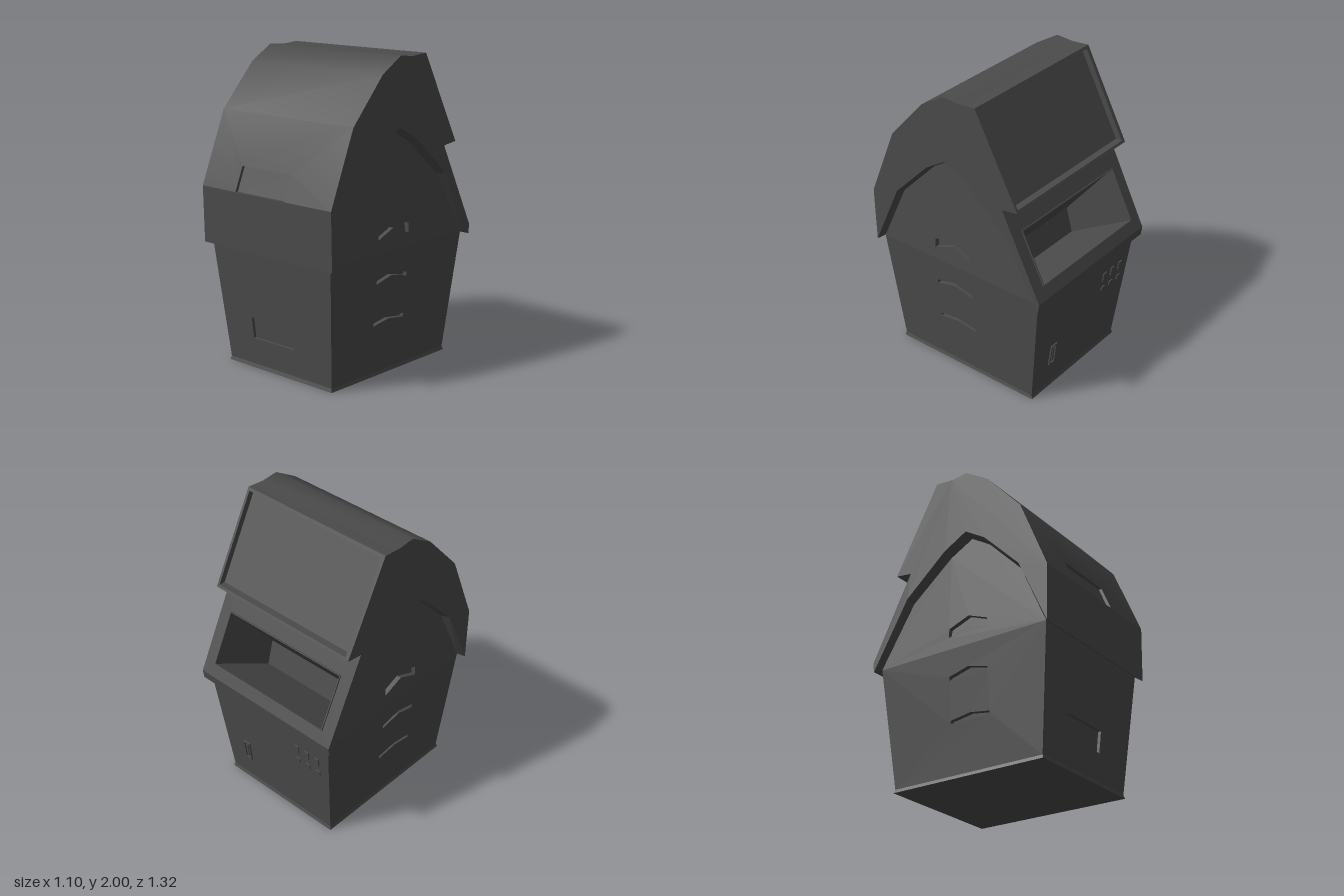
import * as THREE from 'three';
import { toCreasedNormals } from 'three/addons/utils/BufferGeometryUtils.js';

const mat = new THREE.MeshStandardMaterial({ color: 0x4b4b4b, side: THREE.DoubleSide });
const V = (x, y, z) => new THREE.Vector3(x, y, z);
const HX = 0.55; // half width of the roof

// Roof outline as [z, y], from the front eave over the ridge to the back eave
const outline = [[0.652, 0.79], [0.66, 1.155], [0.47, 1.62], [0.217, 1.9], [0.053, 2], [-0.064, 1.99],
  [-0.185, 2], [-0.493, 1.42], [-0.38, 1.405], [-0.66, 0.85], [-0.652, 0.79]];
// Lower edge of the roof sides, and the line where the soffit meets the walls, from back to front
const gable = [[-0.652, 0.79], [-0.4, 1.23], [-0.11, 1.48], [0.055, 1.57], [0.2, 1.48], [0.456, 1.22], [0.652, 0.79]];
const wallTop = [[-0.62, 0.81], [-0.39, 1.215], [-0.105, 1.462], [0.055, 1.55], [0.195, 1.462], [0.445, 1.205], [0.62, 0.81]];

// Side walls lean outward up to the eaves, then slightly inward
const wallX = (y) => (y <= 0.81 ? 0.44 + 0.084 * y : 0.508 - 0.04 * (y - 0.81));

function add(group, name, geometry) {
  const mesh = new THREE.Mesh(geometry, mat);
  mesh.name = name;
  group.add(mesh);
  return mesh;
}

// Mesh from quads whose corners run counter-clockwise seen from outside
function quadGeometry(quads, crease = 0.1) {
  const points = quads.flatMap(([a, b, c, d]) => [a, b, c, a, c, d]);
  return toCreasedNormals(new THREE.BufferGeometry().setFromPoints(points), crease);
}

// Quad with a rectangular recess; toFloor moves each hole corner to the recess floor
function recess([a, b, c, d], [u0, u1, v0, v1], toFloor) {
  const at = (u, v) => a.clone().lerp(b, u).lerp(d.clone().lerp(c, u), v);
  const outer = [a, b, c, d];
  const hole = [at(u0, v0), at(u1, v0), at(u1, v1), at(u0, v1)];
  const floor = hole.map((p, i) => toFloor(p.clone(), i));
  const quads = [floor];
  for (let i = 0; i < 4; i++) {
    const j = (i + 1) % 4;
    quads.push([outer[i], outer[j], hole[j], hole[i]], [hole[i], hole[j], floor[j], floor[i]]);
  }
  return quads;
}

// Roof face number i, across the full width
function roofQuad(i) {
  const [[z0, y0], [z1, y1]] = [outline[i], outline[i + 1]];
  return [V(-HX, y0, z0), V(HX, y0, z0), V(HX, y1, z1), V(-HX, y1, z1)];
}

// Upright side panel from [z, y] points, facing side * x
function sidePanel(side, points, holes, depth, xAt) {
  const path = (list) => list.map(([z, y]) => new THREE.Vector2(-side * z, y));
  const shape = new THREE.Shape(path(points));
  shape.holes = holes.map((h) => new THREE.Path(path(h)));
  const g = new THREE.ExtrudeGeometry(shape, { depth, bevelEnabled: false });
  g.rotateY(side * Math.PI / 2);
  const p = g.attributes.position;
  for (let i = 0; i < p.count; i++) p.setX(i, p.getX(i) + side * (xAt(p.getY(i)) - depth));
  g.computeVertexNormals();
  return g;
}

function frameGeometry(w, h, t, depth) {
  const rect = (a, b) => [[-a, -b], [a, -b], [a, b], [-a, b]].map(([x, y]) => new THREE.Vector2(x / 2, y / 2));
  const shape = new THREE.Shape(rect(w, h));
  shape.holes.push(new THREE.Path(rect(w - 2 * t, h - 2 * t)));
  return new THREE.ExtrudeGeometry(shape, { depth, bevelEnabled: false });
}

function buildRoof() {
  const roof = new THREE.Group();
  roof.name = 'roof';
  // Curved front and ridge, with a shallow handle recess
  const shell = recess(roofQuad(1), [0.273, 0.655, 0, 0.333], (p) => p.add(V(0, 0, -0.02)));
  for (const i of [2, 3, 4, 5]) shell.push(roofQuad(i));
  add(roof, 'roofShell', quadGeometry(shell, 0.65));
  add(roof, 'frontSkirt', quadGeometry([roofQuad(0)]));
  // Sunken panel on the upper back
  add(roof, 'upperBackPanel', quadGeometry(
    recess(roofQuad(6), [0.025, 0.985, 0.03, 0.974], (p) => p.add(V(0, 0, 0.044)))));
  // Deep chute in the lower back: sloping ceiling, inner wall and sloping floor
  add(roof, 'chute', quadGeometry(recess(roofQuad(8), [0.081, 0.919, 0.285, 0.86],
    (p, i) => (i < 2 ? p.set(p.x, 0.83, -0.12) : p.set(p.x, 0.66, -0.165)))));
  const rim = add(roof, 'chuteRim', frameGeometry(0.932, 0.367, 0.006, 0.01));
  rim.position.set(0, 1.087, -0.54);
  rim.rotation.set(0.467, Math.PI, 0);
  add(roof, 'backLedge', quadGeometry([roofQuad(7), roofQuad(9)]));

  // Soffit closing the gap between roof edge and walls: eaves, then both gables
  const outer = ([z, y], side) => V(side * HX, y, z);
  const inner = ([z, y], side) => V(side * wallX(y), y, z);
  const last = gable.length - 1;
  const soffit = [
    [outer(gable[last], 1), outer(gable[last], -1), inner(wallTop[last], -1), inner(wallTop[last], 1)],
    [outer(gable[0], -1), outer(gable[0], 1), inner(wallTop[0], 1), inner(wallTop[0], -1)]];
  for (const side of [1, -1]) {
    for (let i = 0; i < last; i++) {
      const q = [outer(gable[i], side), outer(gable[i + 1], side), inner(wallTop[i + 1], side), inner(wallTop[i], side)];
      soffit.push(side > 0 ? q.reverse() : q);
    }
    add(roof, side > 0 ? 'leftRoofSide' : 'rightRoofSide',
      sidePanel(side, [...outline, ...gable.slice(1, -1)], [], 0.003, () => HX));
  }
  add(roof, 'soffit', quadGeometry(soffit));
  return roof;
}

function buildBody() {
  const body = new THREE.Group();
  body.name = 'body';
  // Front and back walls
  const b = wallX(0.02), t = wallX(0.81);
  const front = [V(-b, 0.02, 0.54), V(b, 0.02, 0.54), V(t, 0.81, 0.62), V(-t, 0.81, 0.62)];
  add(body, 'frontWall', quadGeometry(
    recess(front, [0.27, 0.657, 0.23, 0.405], (p) => p.add(V(0, 0, -0.02)))));
  add(body, 'backWall', quadGeometry([[V(b, 0.02, -0.53), V(-b, 0.02, -0.53), V(-t, 0.81, -0.62), V(t, 0.81, -0.62)]]));

  // Side walls with three chevron slots each
  const chevron = (y, rise, h) => [[0.19, y], [0.05, y + rise], [-0.095, y],
    [-0.095, y + h], [0.05, y + h + rise], [0.19, y + h]];
  const backing = (y0, y1) => [[0.21, y0], [-0.115, y0], [-0.115, y1], [0.21, y1]];
  const panels = [
    ['Wall', [[0.54, 0.02], [-0.53, 0.02], wallTop[0], wallTop.at(-1)],
      [chevron(0.61, 0.035, 0.026), chevron(0.337, 0.021, 0.023)], backing(0.3, 0.7)],
    ['Gable', wallTop, [chevron(0.89, 0.055, 0.062)], backing(0.87, 1.03)]];
  for (const side of [1, -1]) {
    for (const [part, points, slots, back] of panels) {
      const name = (side > 0 ? 'left' : 'right') + part;
      add(body, name, sidePanel(side, points, slots, 0.03, wallX));
      add(body, name + 'SlotFloor', sidePanel(side, back, [], 0.005, (y) => wallX(y) - 0.03));
    }
  }

  // Flared foot with a closed bottom
  const ring = (y, e) => [V(-0.441 - e, y, 0.54 + e), V(0.441 + e, y, 0.54 + e), V(0.441 + e, y, -0.53 - e), V(-0.441 - e, y, -0.53 - e)];
  const low = ring(0, 0.008), high = ring(0.025, 0);
  const foot = [[...low].reverse()];
  for (let i = 0; i < 4; i++) foot.push([low[i], low[(i + 1) % 4], high[(i + 1) % 4], high[i]]);
  add(body, 'foot', quadGeometry(foot));

  // Fittings on the leaning back wall
  const fit = (name, g, x, y) => {
    const mesh = add(body, name, g);
    mesh.position.set(x, y, -0.53 - 0.114 * (y - 0.02));
    mesh.rotation.set(-0.113, Math.PI, 0);
  };
  fit('latchFrame', frameGeometry(0.06, 0.155, 0.012, 0.01), 0.27, 0.268);
  fit('latchBar', new THREE.BoxGeometry(0.016, 0.11, 0.016), 0.27, 0.268);
  for (const x of [-0.225, -0.31, -0.395]) {
    fit('tallButton', new THREE.BoxGeometry(0.034, 0.06, 0.016), x, 0.61);
    fit('shortButton', new THREE.BoxGeometry(0.034, 0.03, 0.016), x, 0.515);
  }
  return body;
}

export function createModel() {
  const model = new THREE.Group();
  model.name = 'bin';
  model.add(buildBody(), buildRoof());
  return model;
}
